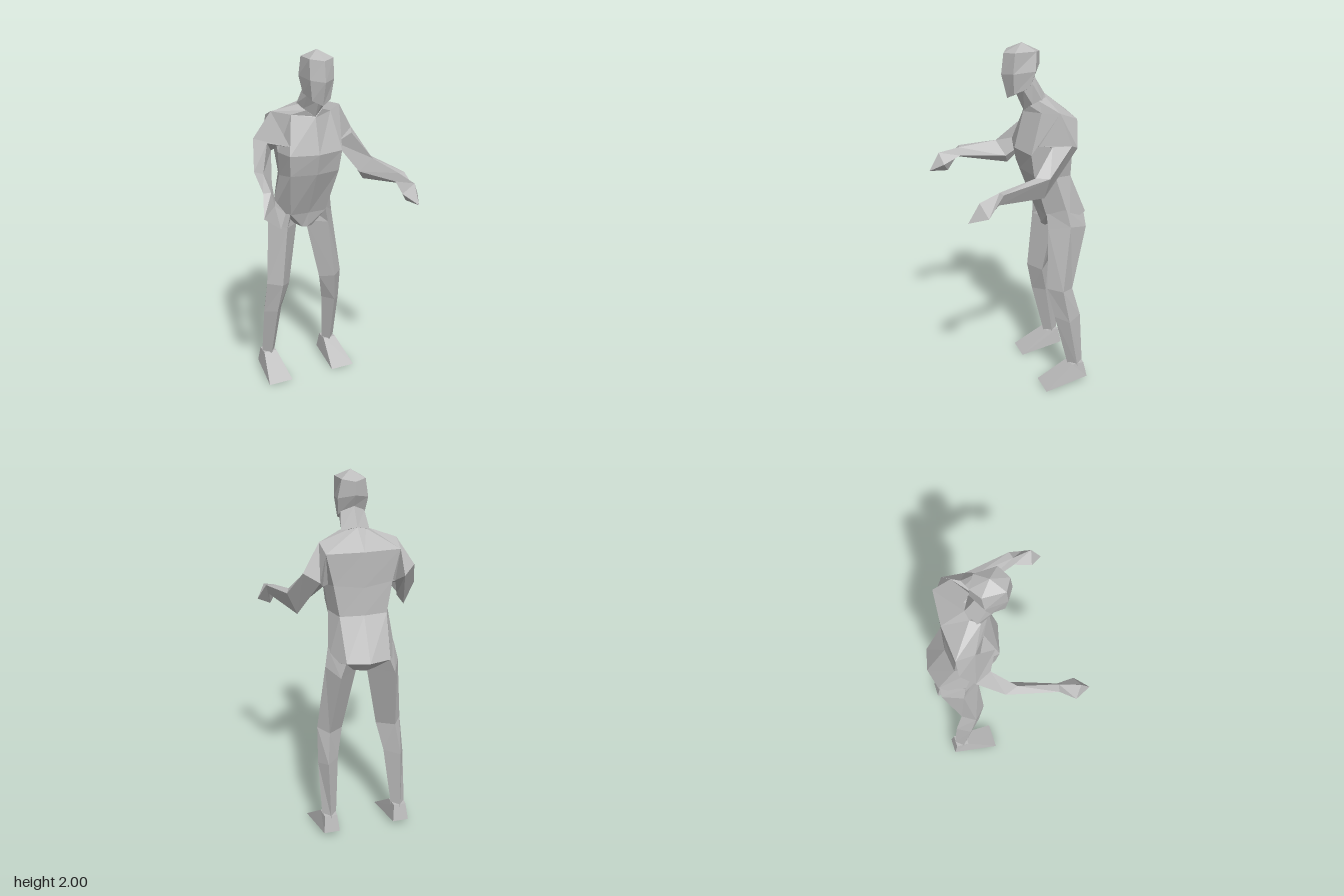
import * as THREE from 'three';

// Joins rings of points into a closed, faceted skin; a one-point ring makes a tip
function loft(rings) {
  const tris = [];
  for (let r = 0; r < rings.length - 1; r++) {
    const a = rings[r], b = rings[r + 1], n = Math.max(a.length, b.length);
    for (let i = 0; i < n; i++) {
      const j = (i + 1) % n;
      if (a.length > 1) tris.push([a[i], a[j], b[j % b.length]]);
      if (b.length > 1) tris.push([a[i % a.length], b[j], b[i]]);
    }
  }
  const first = rings[0], last = rings[rings.length - 1];
  for (let i = 1; i < first.length - 1; i++) tris.push([first[0], first[i + 1], first[i]]);
  for (let i = 1; i < last.length - 1; i++) tris.push([last[0], last[i], last[i + 1]]);
  // Turn the skin outward if its signed volume is negative
  const v = (p) => new THREE.Vector3(...p);
  let volume = 0;
  for (const [p, q, s] of tris) volume += v(p).dot(v(q).cross(v(s)));
  if (volume < 0) tris.forEach((t) => t.reverse());
  const geometry = new THREE.BufferGeometry();
  geometry.setAttribute('position', new THREE.Float32BufferAttribute(tris.flat(2), 3));
  geometry.computeVertexNormals();
  return geometry;
}

const mirrorRing = (ring) => ring.map(([x, y, z]) => [-x, y, z]);

// Completes a half ring that runs from front centre to back centre
const wholeRing = (half) => [...half, ...mirrorRing(half.slice(1, -1)).reverse()];

export function createModel() {
  const group = new THREE.Group();
  const skin = new THREE.MeshStandardMaterial({ color: 0xbcbcbc, flatShading: true });
  skin.name = 'plain grey';

  function add(name, rings) {
    const mesh = new THREE.Mesh(loft(rings), skin);
    mesh.name = name;
    group.add(mesh);
  }
  function addPair(name, rings) {
    add('left' + name, rings);
    add('right' + name, rings.map(mirrorRing));
  }

  // Torso: crotch, hips, waist, chest, shoulders, neck base
  add('torso', [
    [[0, 0.96, -0.15], [0.03, 0.96, -0.16], [0.06, 0.97, -0.22], [0.06, 0.98, -0.29], [0, 0.98, -0.32]],
    [[0, 1.05, -0.135], [0.11, 1.05, -0.14], [0.19, 1.03, -0.25], [0.12, 1.05, -0.37], [0, 1.05, -0.4]],
    [[0, 1.31, -0.02], [0.15, 1.31, -0.05], [0.165, 1.29, -0.17], [0.13, 1.28, -0.27], [0, 1.28, -0.285]],
    [[0, 1.43, 0.01], [0.16, 1.43, -0.03], [0.18, 1.43, -0.15], [0.16, 1.45, -0.265], [0, 1.43, -0.28]],
    [[0, 1.63, -0.04], [0.12, 1.645, -0.1], [0.21, 1.66, -0.17], [0.2, 1.62, -0.27], [0, 1.62, -0.285]],
    [[0, 1.635, -0.045], [0.05, 1.67, -0.06], [0.08, 1.7, -0.1], [0.05, 1.71, -0.15], [0, 1.72, -0.16]],
  ].map(wholeRing));

  add('neck', [
    [[0, 1.63, -0.045], [0.06, 1.68, -0.07], [0.078, 1.7, -0.12], [0, 1.72, -0.16]],
    [[0, 1.73, 0], [0.06, 1.76, -0.02], [0.065, 1.79, -0.07], [0, 1.82, -0.1]],
  ].map(wholeRing));

  // Head: jaw, cheeks, brow, crown
  add('head', [
    ...[
      [[0, 1.71, 0.05], [0.055, 1.74, 0.03], [0.072, 1.77, -0.05], [0, 1.82, -0.1]],
      [[0, 1.84, 0.083], [0.07, 1.85, 0.04], [0.083, 1.86, -0.08], [0, 1.88, -0.13]],
      [[0, 1.95, 0.07], [0.07, 1.96, 0.03], [0.065, 1.96, -0.09], [0, 1.95, -0.13]],
    ].map(wholeRing),
    [[0, 2, -0.03]],
  ]);

  // Arm: shoulder, upper arm, elbow, wrist
  const wrist = [[0.42, 1.335, 0.21], [0.4, 1.275, 0.23], [0.36, 1.29, 0.22], [0.38, 1.335, 0.22]];
  addPair('Arm', [
    [[0.21, 1.66, -0.17], [0.2, 1.62, -0.27], [0.15, 1.45, -0.2], [0.15, 1.48, -0.05]],
    [[0.305, 1.51, -0.2], [0.23, 1.47, -0.265], [0.2, 1.43, -0.2], [0.26, 1.5, -0.11]],
    [[0.36, 1.365, -0.06], [0.305, 1.24, -0.05], [0.27, 1.29, -0.03], [0.335, 1.37, 0.01]],
    wrist,
  ]);
  addPair('Hand', [
    wrist,
    [[0.455, 1.23, 0.3], [0.385, 1.2, 0.29], [0.345, 1.25, 0.32], [0.41, 1.305, 0.335]],
    [[0.405, 1.2, 0.395]],
  ]);

  // Leg: hip, thigh top, knee, calf, ankle
  addPair('Leg', [
    [[0.11, 1.07, -0.14], [0.185, 1.1, -0.23], [0.12, 1.05, -0.36], [0.04, 1.05, -0.25]],
    [[0.13, 0.97, -0.145], [0.205, 1, -0.25], [0.15, 0.97, -0.365], [0.03, 0.96, -0.24]],
    [[0.17, 0.62, -0.13], [0.242, 0.62, -0.2], [0.19, 0.61, -0.275], [0.1, 0.6, -0.2]],
    [[0.19, 0.44, -0.17], [0.25, 0.42, -0.24], [0.21, 0.44, -0.32], [0.135, 0.44, -0.24]],
    [[0.2, 0.11, -0.255], [0.245, 0.11, -0.3], [0.205, 0.11, -0.345], [0.165, 0.11, -0.3]],
  ]);

  // Foot: flat wedge from ankle down to toe and heel
  addPair('Foot', [
    [[0.165, 0.125, -0.265], [0.245, 0.125, -0.265], [0.24, 0.125, -0.34], [0.17, 0.125, -0.34]],
    [[0.135, 0, -0.09], [0.285, 0, -0.09], [0.25, 0.03, -0.36], [0.16, 0.03, -0.36]],
  ]);

  return group;
}
